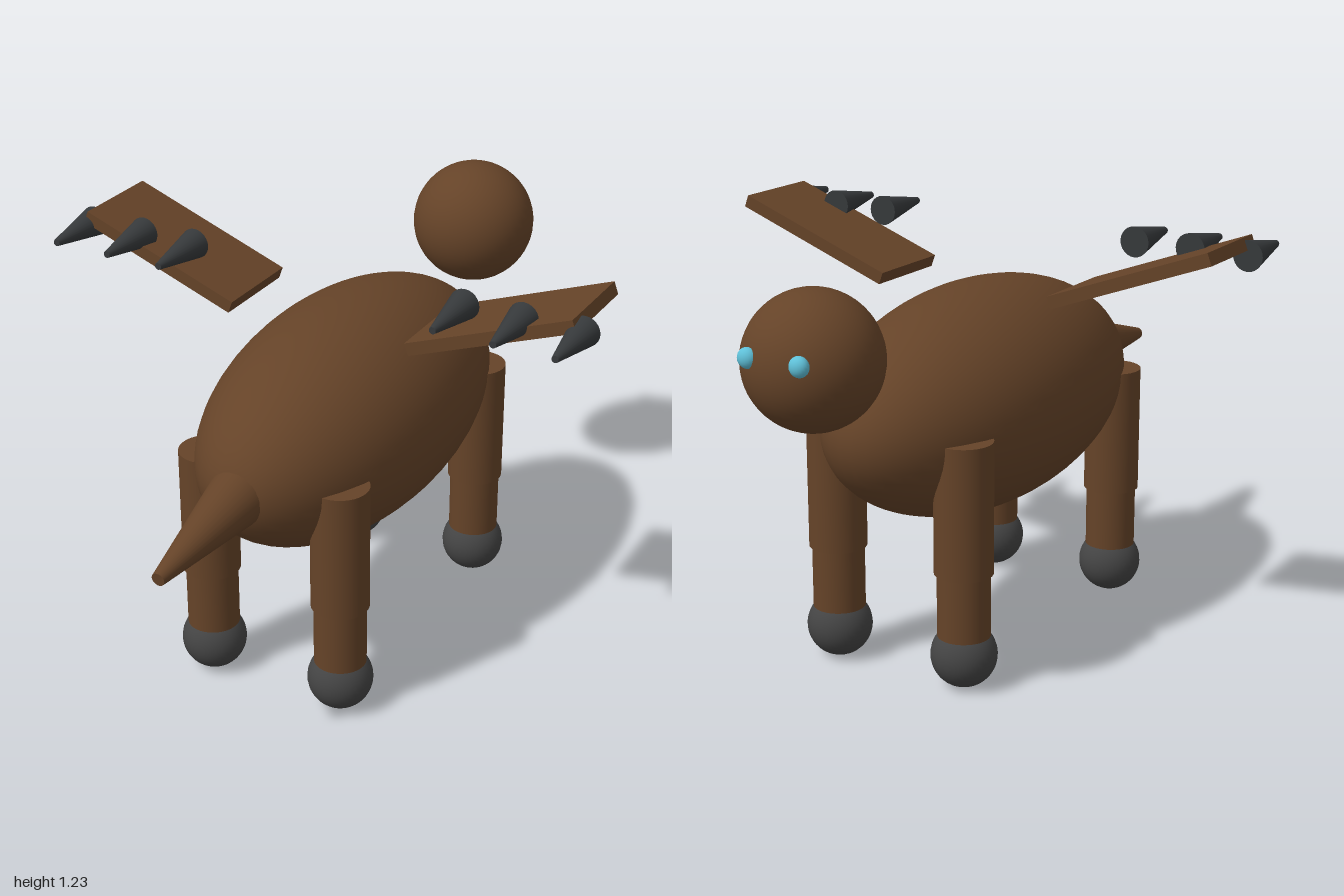
import * as THREE from 'three';

export function createModel() {
  const material = (name, color) => {
    const m = new THREE.MeshStandardMaterial({ color });
    m.name = name;
    return m;
  };
  const brown = material('brown hide', 0x654328);
  const grey = material('foot grey', 0x444444);
  const dark = material('claw grey', 0x36393b);
  const blue = material('eye blue', 0x5fc0d8);

  const model = new THREE.Group();
  model.name = 'wingedBeast';

  const add = (name, geometry, mat, x, y, z, parent = model) => {
    const mesh = new THREE.Mesh(geometry, mat);
    mesh.name = name;
    mesh.position.set(x, y, z);
    parent.add(mesh);
    return mesh;
  };

  // Body and head
  const body = add('body', new THREE.SphereGeometry(1, 48, 32), brown, 0, 0.715, 0);
  body.scale.set(0.328, 0.328, 0.652);
  add('head', new THREE.SphereGeometry(0.188, 40, 28), brown, 0, 1.0, -0.807);

  // Tail: blunt cone from inside the body, drooping slightly towards the tip
  const start = new THREE.Vector3(0, 0.716, 0.59);
  const end = new THREE.Vector3(0, 0.665, 0.997);
  const axis = end.clone().sub(start);
  const middle = start.clone().lerp(end, 0.5);
  const tail = add('tail', new THREE.CylinderGeometry(0.019, 0.088, axis.length(), 32), brown, 0, middle.y, middle.z);
  tail.quaternion.setFromUnitVectors(new THREE.Vector3(0, 1, 0), axis.normalize());

  // Shared geometries for the paired parts
  const upperLeg = new THREE.CylinderGeometry(0.083, 0.083, 0.38, 32);
  const lowerLeg = new THREE.CylinderGeometry(0.075, 0.075, 0.24, 32);
  const foot = new THREE.SphereGeometry(0.094, 32, 24);
  const wingPanel = new THREE.BoxGeometry(0.515, 0.037, 0.28);
  const claw = new THREE.CylinderGeometry(0.01, 0.044, 0.188, 24).rotateX(Math.PI / 2);
  const eyeBall = new THREE.SphereGeometry(0.028, 20, 14);

  for (const side of [1, -1]) {
    const label = side > 0 ? 'left' : 'right';

    add(label + 'Eye', eyeBall, blue, side * 0.08, 1.033, -0.974).scale.z = 0.8;

    // Legs, near the tail and near the head
    for (const [end, z] of [['Front', 0.43], ['Back', -0.425]]) {
      const leg = new THREE.Group();
      leg.name = label + end + 'Leg';
      leg.position.set(side * 0.211, 0, z);
      model.add(leg);
      add('upperLeg', upperLeg, brown, 0, 0.525, 0, leg);
      add('lowerLeg', lowerLeg, brown, 0, 0.24, 0, leg);
      add('foot', foot, grey, 0, 0.094, 0, leg);
    }

    // Raised wing slab with a row of three claws
    const wing = new THREE.Group();
    wing.name = label + 'Wing';
    model.add(wing);
    add('wingPanel', wingPanel, brown, side * 0.521, 1.124, 0.047, wing).rotation.z = side * 0.355;
    for (const x of [0.425, 0.597, 0.77]) {
      add('claw', claw, dark, side * x, 1.181, 0.228, wing);
    }
  }

  return model;
}
